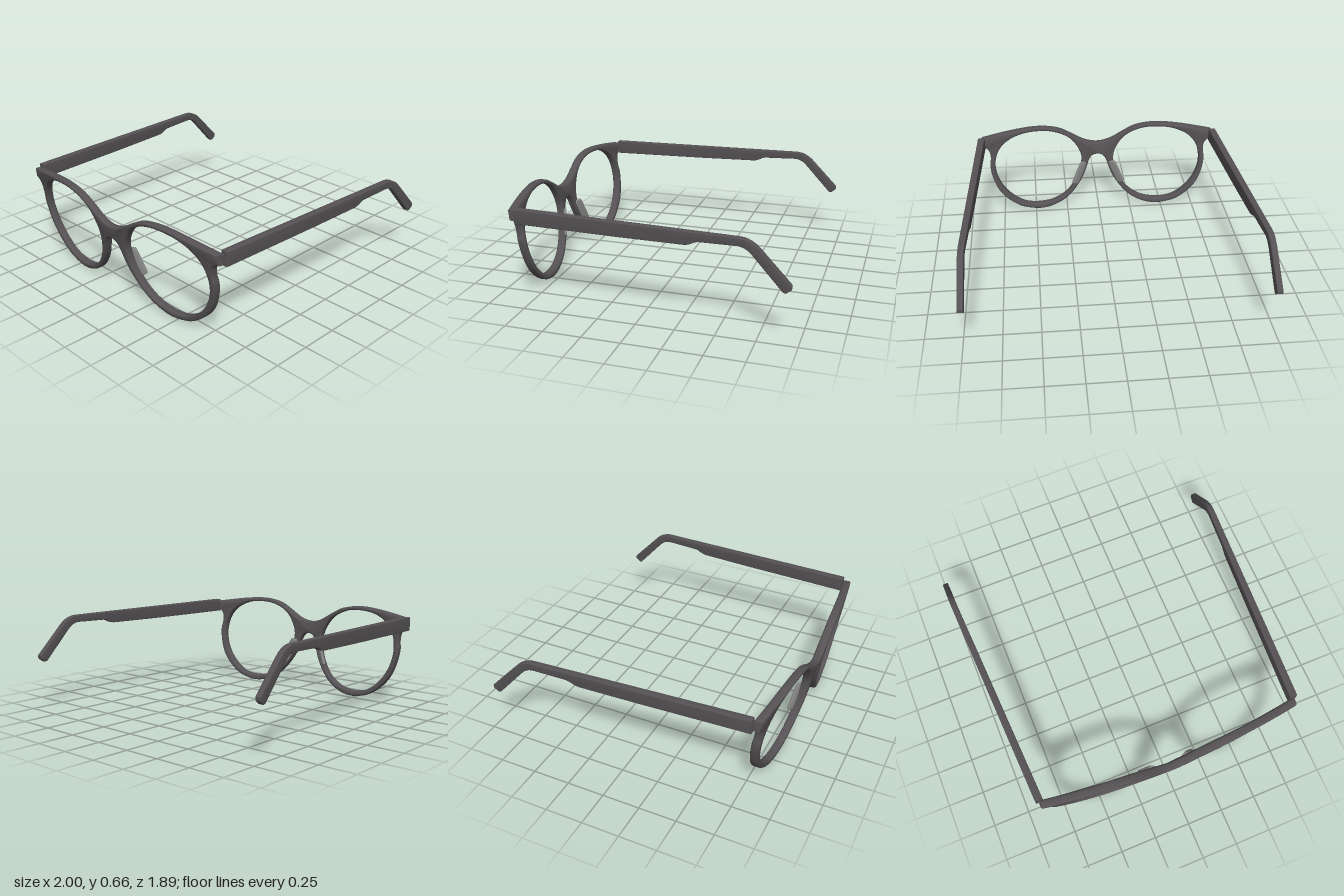
import * as THREE from 'three';
import { toCreasedNormals } from 'three/addons/utils/BufferGeometryUtils.js';

const vecs = (list) => list.map(([x, y]) => new THREE.Vector2(x, y));
// Mirror a half outline across x = 0, keeping its running direction
const mirrored = (list) => list.map(([x, y]) => [-x, y]).reverse();

// Extrude a shape centred on z = 0 with a small bevel that keeps its outline
function slab(shape, thickness, bevel, curveSegments) {
  const geo = new THREE.ExtrudeGeometry(shape, {
    depth: thickness - 2 * bevel, curveSegments, steps: 1,
    bevelThickness: bevel, bevelSize: bevel, bevelOffset: -bevel, bevelSegments: 3,
  });
  return geo.translate(0, 0, -(thickness - 2 * bevel) / 2);
}

// Move every vertex by a rule, then smooth all but the sharp edges
function reshape(geo, rule) {
  const pos = geo.attributes.position;
  const v = new THREE.Vector3();
  for (let i = 0; i < pos.count; i++) {
    rule(v.fromBufferAttribute(pos, i));
    pos.setXYZ(i, v.x, v.y, v.z);
  }
  return toCreasedNormals(geo, 0.6);
}

// Depth of the front frame: leaning forward at the top, wrapping back at the sides, bridge pushed forward
const frameZ = (x, y) =>
  0.905 + 0.15 * (y - 0.5) - 0.09 * x * x + 0.012 * Math.exp(-((x / 0.15) ** 2));

function frontGeometry() {
  // Half outlines on the +x side, all running clockwise
  const top = [[0.1, 0.532], [0.2, 0.588], [0.3, 0.638], [0.42, 0.66], [0.54, 0.66],
    [0.7, 0.643], [0.89, 0.614]];
  const lower = [[0.897, 0.546], [0.862, 0.538], [0.836, 0.5], [0.832, 0.44], [0.84, 0.39], [0.827, 0.3],
    [0.787, 0.193], [0.717, 0.106], [0.627, 0.04], [0.545, 0.012], [0.46, 0.0], [0.37, 0.014],
    [0.275, 0.057], [0.195, 0.127], [0.125, 0.225], [0.09, 0.305], [0.068, 0.37], [0.04, 0.408]];
  const lens = [[0.45, 0.635], [0.6, 0.62], [0.715, 0.567], [0.775, 0.495], [0.8, 0.4], [0.79, 0.3],
    [0.74, 0.193], [0.66, 0.107], [0.57, 0.056], [0.465, 0.041], [0.355, 0.057], [0.25, 0.116],
    [0.17, 0.22], [0.133, 0.32], [0.127, 0.41], [0.158, 0.49], [0.22, 0.565], [0.33, 0.618]];

  const shape = new THREE.Shape();
  shape.moveTo(-0.89, 0.614);
  shape.splineThru(vecs([...mirrored(top).slice(1), [0, 0.51], ...top]));
  shape.lineTo(0.897, 0.546);
  shape.splineThru(vecs([...lower.slice(1), [0, 0.418], ...mirrored(lower)]));
  shape.closePath();
  // Lens openings run counter-clockwise, against the outline
  for (const ring of [lens, mirrored(lens)]) {
    const curve = new THREE.CatmullRomCurve3(ring.map(([x, y]) => new THREE.Vector3(x, y, 0)), true);
    const pts = curve.getPoints(72).slice(0, -1).reverse();
    shape.holes.push(new THREE.Path(pts.map((p) => new THREE.Vector2(p.x, p.y))));
  }
  return reshape(slab(shape, 0.056, 0.012, 4), (v) => { v.z += frameZ(v.x, v.y); });
}

function templeGeometry(side) {
  // Side profile, first coordinate running backwards
  const s = new THREE.Shape();
  s.moveTo(-0.822, 0.628);
  s.lineTo(0.62, 0.628);
  s.bezierCurveTo(0.68, 0.628, 0.72, 0.605, 0.755, 0.57);
  s.lineTo(0.946, 0.373);
  s.lineTo(0.946, 0.352);
  s.lineTo(0.914, 0.327);
  s.lineTo(0.897, 0.33);
  s.lineTo(0.72, 0.523);
  s.bezierCurveTo(0.69, 0.558, 0.66, 0.578, 0.62, 0.578);
  s.lineTo(0.39, 0.572);
  s.bezierCurveTo(0.36, 0.57, 0.34, 0.545, 0.3, 0.543);
  s.lineTo(-0.1, 0.537);
  s.lineTo(-0.822, 0.533);
  s.closePath();
  const geo = slab(s, 0.05, 0.004, 8).rotateY(Math.PI / 2);
  // Splay outwards and thin towards the tip
  return reshape(geo, (v) => {
    const t = (0.822 - v.z) / 1.768;
    v.x = v.x * (1 - 0.24 * t) + side * (0.891 + 0.089 * t);
  });
}

// Long rounded plate, its length along x
function padGeometry() {
  const l = 0.097, w = 0.03;
  const s = new THREE.Shape();
  s.moveTo(-l, 0);
  s.bezierCurveTo(-l, -w, -0.9 * l, -w, -0.4 * l, -w);
  s.lineTo(0.6 * l, -w);
  s.bezierCurveTo(l, -w, l, -w, l, 0);
  s.bezierCurveTo(l, w, l, w, 0.6 * l, w);
  s.lineTo(-0.4 * l, w);
  s.bezierCurveTo(-0.9 * l, w, -l, w, -l, 0);
  return toCreasedNormals(slab(s, 0.02, 0.007, 10), 0.6);
}

export function createModel() {
  const model = new THREE.Group();
  model.name = 'eyeglasses';
  const acetate = new THREE.MeshStandardMaterial({ color: 0x555154 });
  acetate.name = 'dark grey acetate';
  const padGrey = new THREE.MeshStandardMaterial({ color: 0x868686 });
  padGrey.name = 'nose pad grey';

  const add = (name, geo, mat) => {
    const mesh = new THREE.Mesh(geo, mat);
    mesh.name = name;
    model.add(mesh);
    return mesh;
  };

  add('frontFrame', frontGeometry(), acetate);

  for (const [label, side] of [['left', 1], ['right', -1]]) {
    add(label + 'Temple', templeGeometry(side), acetate);

    // Small hinge block between frame and temple
    add(label + 'Hinge', new THREE.BoxGeometry(0.026, 0.055, 0.04), acetate)
      .position.set(side * 0.881, 0.58, 0.825);

    // Nose pad lying along the inner rim, its outer edge turned backwards
    const along = new THREE.Vector3(side * 0.075, -0.17, -0.03).normalize();
    const across = new THREE.Vector3(side * 0.8, 0.3, -0.45);
    across.addScaledVector(along, -across.dot(along)).normalize();
    const normal = new THREE.Vector3().crossVectors(along, across);
    const pad = add(label + 'NosePad', padGeometry(), padGrey);
    pad.quaternion.setFromRotationMatrix(new THREE.Matrix4().makeBasis(along, across, normal));
    pad.position.set(side * 0.147, 0.278, 0.842);
  }
  return model;
}
